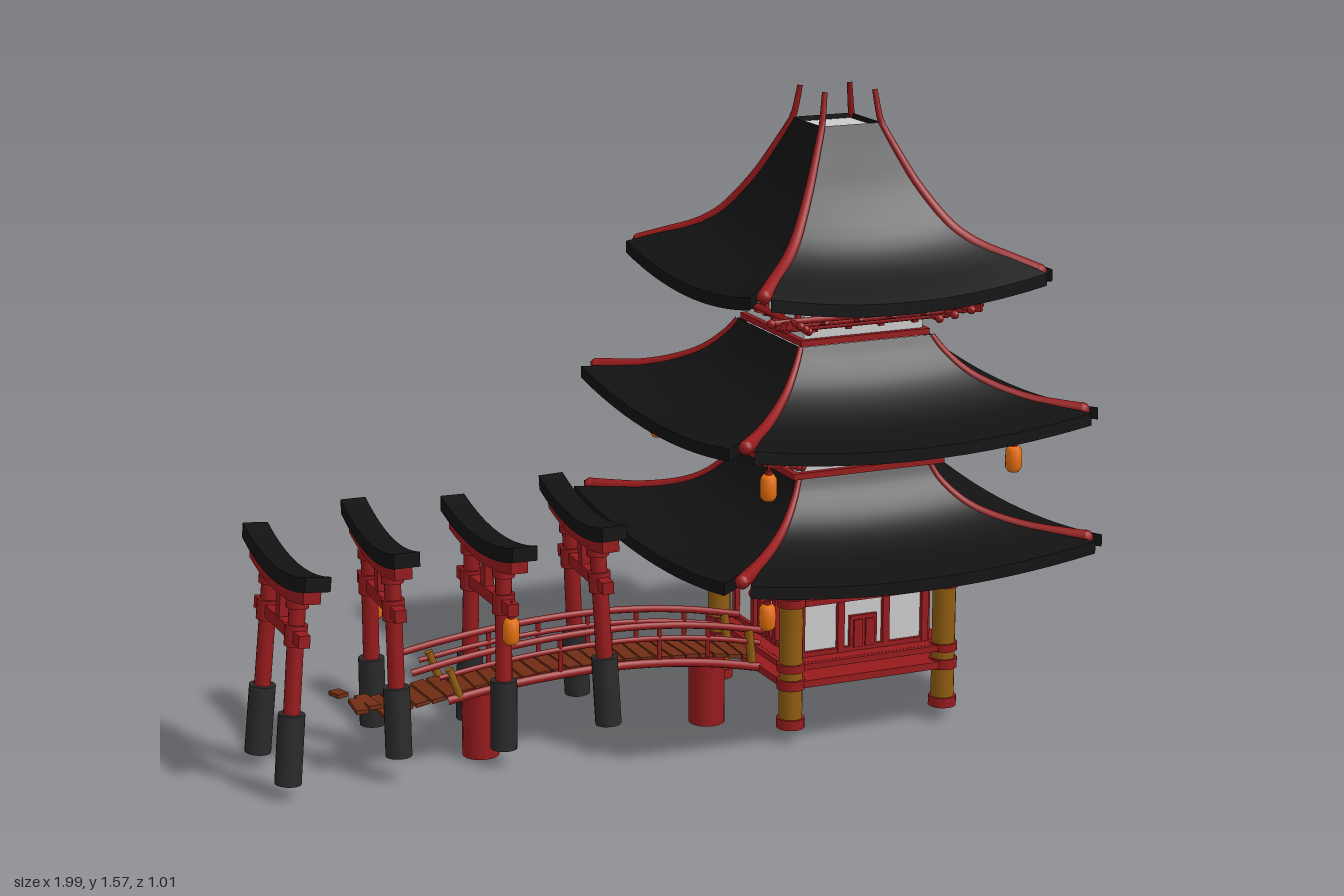
import * as THREE from 'three';

const paint = (color) => new THREE.MeshStandardMaterial({ color });
const RED = paint(0x961a1c), BLACK = paint(0x121212), DARK = paint(0x2a2a2a);
const GOLD = paint(0x8f5c10), ORANGE = paint(0xe87010), WOOD = paint(0x702c14), PLAIN = paint(0xcccccc);

function add(parent, name, geometry, material, x = 0, y = 0, z = 0) {
  const mesh = new THREE.Mesh(geometry, material);
  mesh.name = name;
  mesh.position.set(x, y, z);
  parent.add(mesh);
  return mesh;
}
const box = (p, name, mat, w, h, d, x, y, z) => add(p, name, new THREE.BoxGeometry(w, h, d), mat, x, y, z);
// Upright cylinder between two heights
const post = (p, name, mat, r, y0, y1, x, z) =>
  add(p, name, new THREE.CylinderGeometry(r, r, y1 - y0, 16), mat, x, (y0 + y1) / 2, z);
function group(parent, name, x = 0, y = 0, z = 0) {
  const g = new THREE.Group();
  g.name = name;
  g.position.set(x, y, z);
  parent.add(g);
  return g;
}
// Calls build once for each of the four sides, facing +z before the turn
function fourSides(parent, name, build) {
  for (let i = 0; i < 4; i++) {
    const side = group(parent, name);
    side.rotation.y = i * Math.PI / 2;
    build(side);
  }
}
// Tube whose radius runs from r0 to r1
function taperedTube(points, r0, r1, segments = 28, sides = 8) {
  const curve = new THREE.CatmullRomCurve3(points);
  const geo = new THREE.TubeGeometry(curve, segments, 1, sides);
  const pos = geo.attributes.position, v = new THREE.Vector3();
  for (let i = 0; i < pos.count; i++) {
    const s = Math.floor(i / (sides + 1)) / segments, c = curve.getPointAt(s);
    v.fromBufferAttribute(pos, i).sub(c).multiplyScalar(r0 + (r1 - r0) * s).add(c);
    pos.setXYZ(i, v.x, v.y, v.z);
  }
  return geo;
}

function lantern(parent, x, y, z) {
  const g = group(parent, 'lantern', x, y, z);
  const profile = [[0, -.032], [.013, -.032], [.02, -.022], [.021, 0], [.02, .022], [.013, .032], [0, .032]];
  add(g, 'lanternBody', new THREE.LatheGeometry(profile.map(p => new THREE.Vector2(...p)), 14), ORANGE);
  post(g, 'lanternCap', RED, .009, .03, .04, 0, 0);
  post(g, 'lanternCord', RED, .003, .038, .075, 0, 0);
}

// Curved hip roof: profile is a list of [distance from centre, height]
function roof(parent, profile, tip) {
  const g = group(parent, 'roof');
  const curve = new THREE.CatmullRomCurve3(profile.map(([d, y]) => new THREE.Vector3(0, y, d)));
  const lift = .038, spread = t => 1 - .09 * t ** 3;
  const geo = new THREE.BoxGeometry(2, 1, 1, 16, 1, 18);
  const pos = geo.attributes.position;
  for (let i = 0; i < pos.count; i++) {
    const u = pos.getX(i), t = pos.getZ(i) + .5, p = curve.getPoint(t);
    pos.setXYZ(i, u * p.z * spread(t), p.y + lift * u * u * t * t + pos.getY(i) * .03, p.z);
  }
  geo.computeVertexNormals();
  const ridge = tip.map(([d, y]) => new THREE.Vector3(d, y, d));
  for (let i = 0; i <= 10; i++) {
    const t = i / 10, p = curve.getPoint(t), d = p.z * spread(t);
    ridge.push(new THREE.Vector3(d, p.y + lift * t * t + .014, d));
  }
  const ridgeGeo = taperedTube(ridge, .007, .018);
  fourSides(g, 'roofSide', side => {
    add(side, 'roofPanel', geo, BLACK);
    add(side, 'ridge', ridgeGeo, RED);
    add(side, 'ridgeEnd', new THREE.SphereGeometry(.018, 10, 8), RED, ...ridge.at(-1).toArray());
  });
  const [d, y] = profile[0];
  box(g, 'roofCap', PLAIN, 2 * d - .01, .012, 2 * d - .01, 0, y - .002, 0);
}

// White band with beams and crossing rails under each roof
function bracketTier(parent, y, s) {
  const g = group(parent, 'bracketTier', 0, y, 0);
  box(g, 'neck', PLAIN, .35 * s, .04, .35 * s, 0, -.015, 0);
  box(g, 'band', PLAIN, .4 * s, .11, .4 * s, 0, .06, 0);
  box(g, 'upperCore', PLAIN, .33 * s, .06, .33 * s, 0, .135, 0);
  fourSides(g, 'bracketSide', side => {
    box(side, 'lowerBeam', RED, .43 * s, .015, .02, 0, .01, .205 * s);
    box(side, 'upperBeam', RED, .4 * s, .018, .02, 0, .104, .19 * s);
    [[.22, .27, .05], [.25, .31, .064], [.285, .35, .08]].forEach(([d, half, h]) => {
      const rail = add(side, 'rail', new THREE.CylinderGeometry(.008, .008, 2 * half * s, 8), RED, 0, h, d * s);
      rail.rotation.z = Math.PI / 2;
      for (const k of [-1, 1]) add(side, 'railEnd', new THREE.SphereGeometry(.011, 8, 6), RED, k * half * s, h, d * s);
    });
    for (const x of [-.17, -.055, .055, .17]) {
      box(side, 'strut', RED, .014, .07, .014, x * s, .07, .205 * s);
      const arm = box(side, 'bracketArm', RED, .012, .014, .11 * s, x * s, .062, .24 * s);
      arm.rotation.x = -.3;
    }
    const hip = box(side, 'cornerArm', RED, .016, .018, .23 * s, .25 * s, .068, .25 * s);
    hip.rotation.set(-.12, Math.PI / 4, 0, 'YXZ');
  });
}

function tower(parent) {
  const g = group(parent, 'pagoda', .49, 0, 0);
  box(g, 'basePlate', RED, .46, .018, .46, 0, .147, 0);
  box(g, 'floor', RED, .44, .016, .44, 0, .19, 0);
  box(g, 'walls', PLAIN, .35, .15, .35, 0, .265, 0);
  fourSides(g, 'groundSide', side => {
    const c = .21;
    post(side, 'pillar', GOLD, .029, .04, .365, c, c);
    for (const [a, b] of [[.035, .06], [.135, .16], [.18, .2], [.345, .367]]) post(side, 'pillarRing', RED, .035, a, b, c, c);
    box(side, 'baseBeam', RED, .42, .018, .02, 0, .147, .225);
    box(side, 'floorBeam', RED, .42, .015, .02, 0, .19, .222);
    for (const x of [-.17, -.062, .062, .17]) box(side, 'wallPost', RED, .018, .14, .018, x, .265, .178);
    box(side, 'wallSill', RED, .35, .012, .014, 0, .204, .178);
    box(side, 'doorFrame', RED, .074, .09, .014, 0, .243, .178);
    for (const x of [-.016, .016]) box(side, 'doorPanel', RED, .024, .07, .006, x, .243, .187);
  });
  [[.335, 1], [.655, .95], [.975, .8]].forEach(([y, s]) => bracketTier(g, y, s));
  roof(g, [[.175, .65], [.2, .597], [.26, .532], [.36, .485], [.505, .455]], []);
  roof(g, [[.178, .963], [.2, .925], [.255, .863], [.36, .805], [.49, .772]], []);
  roof(g, [[.08, 1.475], [.112, 1.4], [.16, 1.3], [.24, 1.19], [.4, 1.103]], [[.067, 1.57], [.074, 1.52]]);
  for (const z of [-.325, .325]) {
    lantern(g, -.33, .365, z);
    for (const x of [-.33, .33]) lantern(g, x, .685, z);
  }
}

const deckY = x => .21 - .19 * (x + .17) ** 2;
function bridge(parent) {
  const g = group(parent, 'bridge');
  const arc = (x0, x1, rise, z) => Array.from({ length: 9 }, (_, i) => {
    const x = x0 + (x1 - x0) * i / 8;
    return new THREE.Vector3(x, deckY(x) + rise - (x > -.17 ? .1 * (x + .17) ** 2 : 0), z);
  });
  for (const x of [-.45, .15]) post(g, 'bridgePier', RED, .045, 0, deckY(x) - .01, x, 0);
  // Deck planks follow the arch, each slightly askew
  for (let i = 0; i < 25; i++) {
    const x = -.7 + i * .039;
    const plank = box(g, 'plank', WOOD, .034, .01, .135 + .01 * Math.sin(i * 5), x, deckY(x), 0);
    plank.rotation.set(0, .05 * Math.sin(i * 7), Math.atan(-.38 * (x + .17)));
  }
  [[-.735, .0, .09, .1], [-.765, .02, .09, -.1], [-.78, -.085, .04, .3]].forEach(([x, z, len, turn]) => {
    box(g, 'loosePlank', WOOD, .03, .01, len, x, .172, z).rotation.y = turn;
  });
  for (const z of [-.072, .072]) {
    add(g, 'deckBeam', taperedTube(arc(-.56, .26, -.008, z), .011, .011), RED);
    add(g, 'lowerRail', taperedTube(arc(-.58, .26, .055, z), .007, .007), RED);
    add(g, 'upperRail', taperedTube(arc(-.65, .27, .088, z), .009, .009), RED);
    for (let x = -.4; x < .2; x += .13) post(g, 'railPost', RED, .006, deckY(x), deckY(x) + .08, x, z);
    const broken = post(g, 'brokenPost', GOLD, .01, .17, .255, -.54, z);
    broken.rotation.z = .35;
    post(g, 'endPost', GOLD, .011, .165, .25, .235, z).rotation.z = .12;
  }
}

// Gate whose beams run along z; bent beams rise toward both ends
function gate(parent, x, y, lean, yaw) {
  const g = group(parent, 'gate', x, y, -.02);
  g.rotation.set(0, yaw, lean, 'ZYX');
  const bentBeam = (name, mat, w, h, len, at, bend) => {
    const geo = new THREE.BoxGeometry(w, h, len, 1, 1, 10), p = geo.attributes.position;
    for (let i = 0; i < p.count; i++) p.setY(i, p.getY(i) + bend * (2 * p.getZ(i) / len) ** 2);
    geo.computeVertexNormals();
    add(g, name, geo, mat, 0, at, 0);
  };
  bentBeam('gateTop', BLACK, .062, .036, .49, .482, .035);
  bentBeam('gateLintel', RED, .042, .03, .42, .45, .025);
  box(g, 'gateTie', RED, .028, .03, .35, 0, .36, 0);
  box(g, 'gateStrut', RED, .024, .08, .03, 0, .405, 0);
  for (const z of [-.12, .12]) {
    const leg = group(g, 'gateLeg', 0, 0, z);
    leg.rotation.x = z > 0 ? -.03 : .03;
    post(leg, 'legFoot', DARK, .032, 0, .17, 0, 0);
    post(leg, 'legShaft', RED, .02, .16, .46, 0, 0);
    post(leg, 'legCollar', RED, .027, .335, .385, 0, 0);
    post(leg, 'legCap', RED, .027, .425, .445, 0, 0);
  }
  return g;
}

export function createModel() {
  const model = new THREE.Group();
  model.name = 'pagodaWithBridge';
  tower(model);
  bridge(model);
  gate(model, -.968, .035, -.09, 0);
  lantern(gate(model, -.685, .065, .01, -.07), .025, .285, -.16);
  lantern(gate(model, -.428, .045, -.02, 0), 0, .305, .16);
  gate(model, -.148, .07, .05, -.07);
  return model;
}
